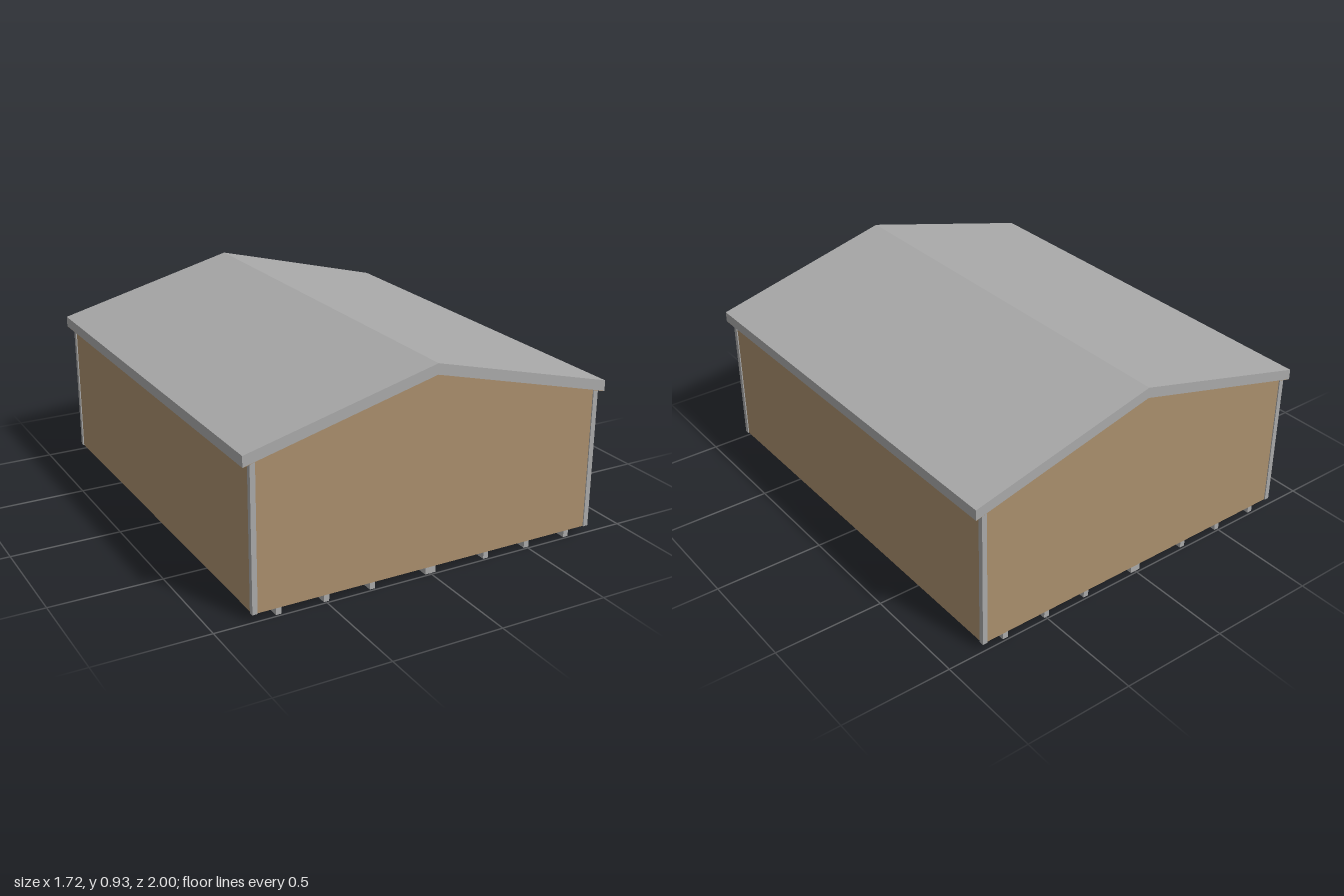
import * as THREE from 'three';

export function createModel() {
  const model = new THREE.Group();
  const grey = new THREE.MeshStandardMaterial({ color: 0xa9a9a9 });
  grey.name = 'grey metal';
  const tan = new THREE.MeshStandardMaterial({ color: 0xa98e6c, side: THREE.DoubleSide });
  tan.name = 'tan board';

  const wallX = 0.825, wallZ = 0.99, base = 0.03;
  const eaveX = 0.862, ridge = 0.885, slope = 0.256, roofThick = 0.048;
  const underside = (x) => ridge - slope * Math.abs(x);

  const add = (name, geometry, material, x = 0, y = 0, z = 0) => {
    const mesh = new THREE.Mesh(geometry, material);
    mesh.name = name;
    mesh.position.set(x, y, z);
    model.add(mesh);
    return mesh;
  };

  // Bent sheet following both roof slopes, extruded along z
  const roofSheet = (halfWidth, bottom, top, depth) => {
    const shape = new THREE.Shape();
    const edge = underside(halfWidth);
    shape.moveTo(-halfWidth, edge + bottom);
    shape.lineTo(0, ridge + bottom);
    shape.lineTo(halfWidth, edge + bottom);
    shape.lineTo(halfWidth, edge + top);
    shape.lineTo(0, ridge + top);
    shape.lineTo(-halfWidth, edge + top);
    shape.closePath();
    return new THREE.ExtrudeGeometry(shape, { depth, bevelEnabled: false }).translate(0, 0, -depth / 2);
  };
  add('roof', roofSheet(eaveX, 0, roofThick, 2), grey);
  add('roofLining', roofSheet(eaveX - 0.001, -0.002, 0.001, 1.998), tan);

  // Gable walls, front and back
  const gable = new THREE.Shape();
  gable.moveTo(-wallX, base);
  gable.lineTo(wallX, base);
  gable.lineTo(wallX, underside(wallX));
  gable.lineTo(0, ridge);
  gable.lineTo(-wallX, underside(wallX));
  gable.closePath();
  add('frontWall', new THREE.ShapeGeometry(gable), tan, 0, 0, wallZ);
  add('backWall', new THREE.ShapeGeometry(gable), tan, 0, 0, -wallZ).rotation.y = Math.PI;

  // Side walls and corner trims
  const sideH = underside(wallX) - base;
  const trimH = 0.675 - base, trimW = 0.023, trimT = 0.005;
  for (const sx of [-1, 1]) {
    const wall = add(sx > 0 ? 'leftWall' : 'rightWall', new THREE.PlaneGeometry(wallZ * 2, sideH), tan,
      sx * wallX, base + sideH / 2, 0);
    wall.rotation.y = sx * Math.PI / 2;
    for (const sz of [-1, 1]) {
      add('cornerTrimGable', new THREE.BoxGeometry(trimW, trimH, trimT), grey,
        sx * (wallX + trimT - trimW / 2), base + trimH / 2, sz * (wallZ + trimT / 2));
      add('cornerTrimSide', new THREE.BoxGeometry(trimT, trimH, trimW), grey,
        sx * (wallX + trimT / 2), base + trimH / 2, sz * (wallZ + trimT - trimW / 2));
    }
  }

  // Floor runners, with a wider one in the middle
  for (const x of [-0.713, -0.497, -0.282, 0, 0.282, 0.497, 0.713]) {
    add('floorRunner', new THREE.BoxGeometry(x === 0 ? 0.05 : 0.025, base, 1.98), grey, x, base / 2, 0);
  }

  return model;
}
